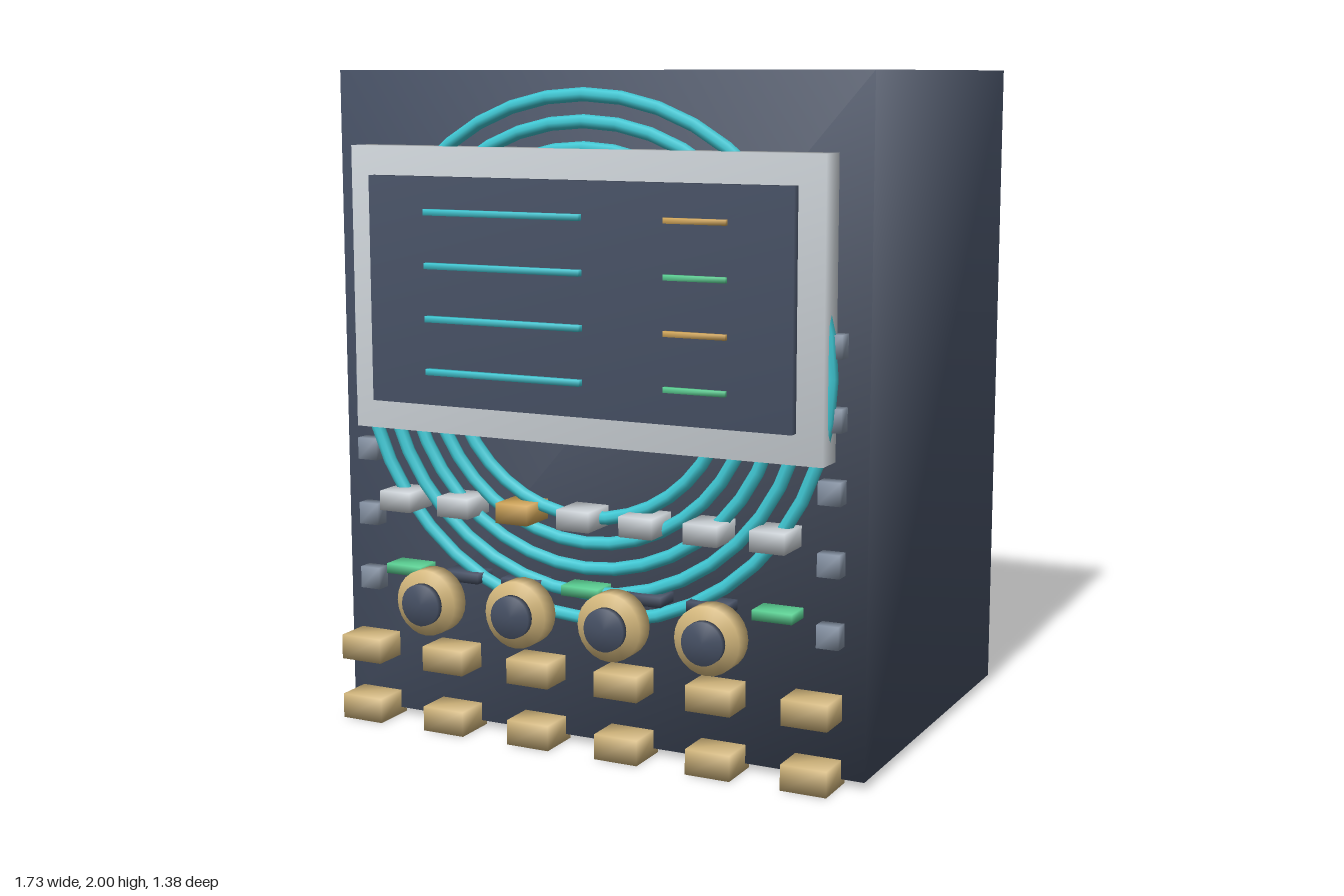
import * as THREE from 'three';
import { mergeVertices } from 'three/addons/utils/BufferGeometryUtils.js';

const mat = (name, color) => new THREE.MeshStandardMaterial({ name, color });

// Weld all corners so shading runs smoothly across the edges
function soften(geometry) {
  geometry.deleteAttribute('normal');
  geometry.deleteAttribute('uv');
  const g = mergeVertices(geometry, 1e-4);
  g.computeVertexNormals();
  return g;
}

export function createModel() {
  const model = new THREE.Group();
  model.name = 'controlCabinet';

  const navy = mat('navy', 0x465064);
  const silver = mat('silver', 0xcbd1d6);
  const brass = mat('brass', 0xd2b67c);
  const amber = mat('amber', 0xd0a558);
  const teal = mat('teal', 0x3fc6d2);
  const green = mat('green', 0x58cc90);
  const slate = mat('slate', 0x8592a4);

  const add = (name, geometry, material, x, y, z) => {
    const mesh = new THREE.Mesh(geometry, material);
    mesh.name = name;
    mesh.position.set(x, y, z);
    model.add(mesh);
    return mesh;
  };
  // Box given by centre x, y, size w, h and its back and front z
  const block = (name, material, x, y, w, h, z0, z1) =>
    add(name, soften(new THREE.BoxGeometry(w, h, z1 - z0)), material, x, y, (z0 + z1) / 2);

  // Cabinet
  block('cabinet', navy, 0, 1.01, 1.725, 1.98, -0.69, 0.463);

  // Concentric coil rings
  for (let i = 0; i < 5; i++) {
    add('coilRing', new THREE.TorusGeometry(0.765 - i * 0.076, 0.02, 8, 40), teal, 0, 1.167, 0.505);
  }

  // Display: frame, screen and readout bars
  block('displayFrame', silver, 0, 1.354, 1.525, 0.85, 0.463, 0.557);
  block('screen', navy, 0, 1.355, 1.365, 0.675, 0.545, 0.587);
  for (let i = 0; i < 4; i++) {
    const y = 1.59 - i * 0.157;
    block('readoutBar', teal, -0.222, y, 0.515, 0.018, 0.588, 0.61);
    block('statusBar', i % 2 ? green : amber, 0.395, y, 0.19, 0.016, 0.592, 0.606);
  }

  // Studs down both sides
  for (const side of [-1, 1]) {
    for (let i = 0; i < 5; i++) {
      block('sideStud', slate, side * 0.763, 0.44 + i * 0.204, 0.067, 0.067, 0.463, 0.51);
    }
  }

  // Row of buttons with indicator tabs below
  for (let i = 0; i < 7; i++) {
    const x = (i - 3) * 0.204;
    block('button', i === 2 ? amber : silver, x, 0.711, 0.106, 0.06, 0.465, 0.59);
    block('indicatorTab', i % 3 === 0 ? green : navy, x, 0.49, 0.122, 0.03, 0.465, 0.55);
  }

  // Knobs with dark caps
  const disc = (r, depth) => soften(new THREE.CylinderGeometry(r, r, depth, 24).rotateX(Math.PI / 2));
  for (let i = 0; i < 4; i++) {
    const x = (i - 1.5) * 0.308;
    add('knob', disc(0.1, 0.063), brass, x, 0.43, 0.627);
    add('knobCap', disc(0.063, 0.022), navy, x, 0.43, 0.68);
  }

  // Two rows of terminals
  for (const y of [0.038, 0.228]) {
    for (let i = 0; i < 6; i++) {
      block('terminal', brass, -0.758 + i * 0.296, y, 0.14, 0.076, 0.435, 0.575);
    }
  }
  return model;
}
